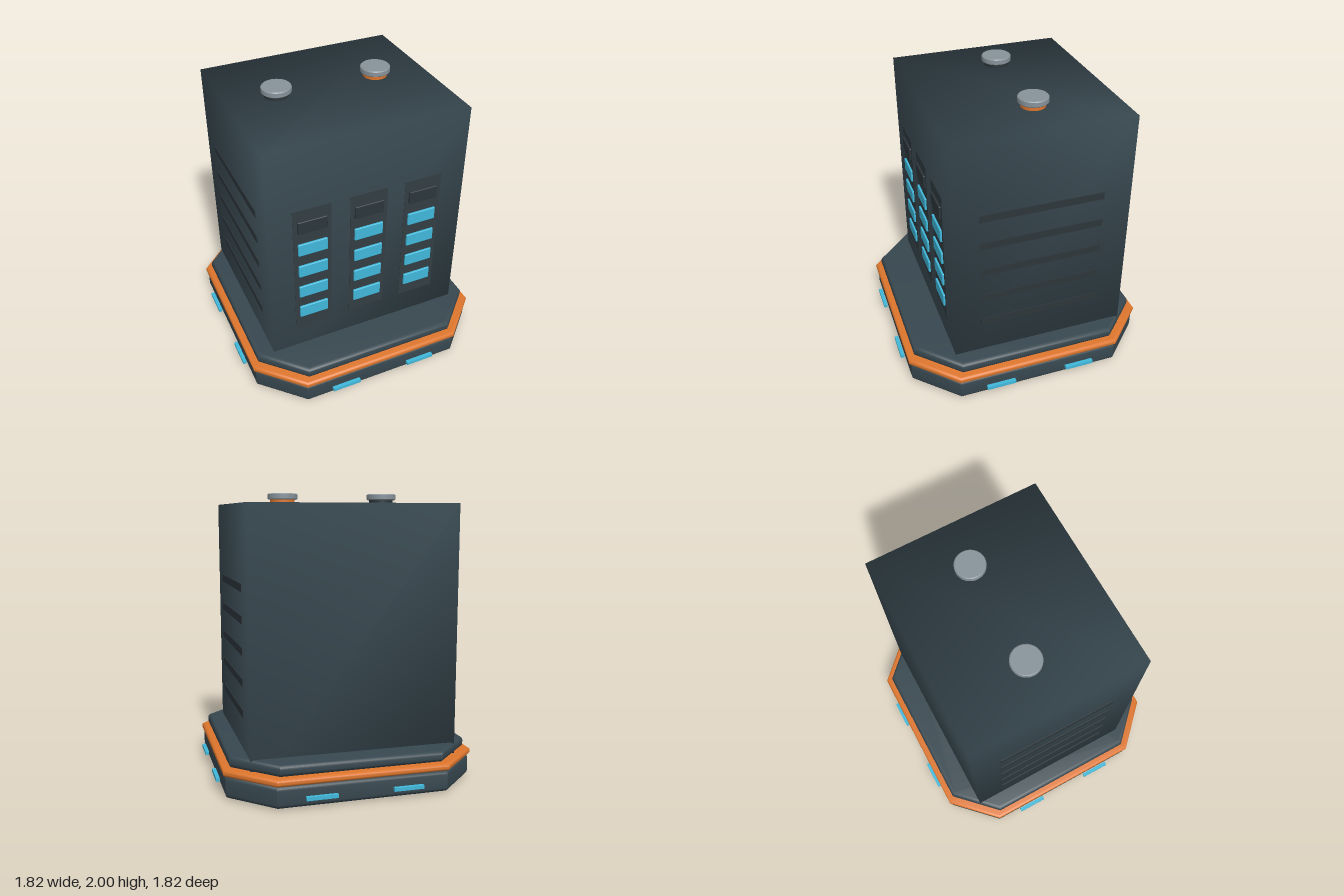
import * as THREE from 'three';
import { mergeVertices, toCreasedNormals } from 'three/addons/utils/BufferGeometryUtils.js';
import { RoundedBoxGeometry } from 'three/addons/geometries/RoundedBoxGeometry.js';

const material = (name, color) => {
  const m = new THREE.MeshStandardMaterial({ color });
  m.name = name;
  return m;
};

export function createModel() {
  const slate = material('slate', 0x37474f);
  const panelGrey = material('panelGrey', 0x313d43);
  const charcoal = material('charcoal', 0x2c363b);
  const orange = material('orange', 0xdc752c);
  const cyan = material('cyan', 0x40b8da);
  const steel = material('steel', 0x87939a);

  const model = new THREE.Group();
  model.name = 'serverTower';

  const add = (name, geometry, mat, x = 0, y = 0, z = 0, parent = model) => {
    const mesh = new THREE.Mesh(geometry, mat);
    mesh.name = name;
    mesh.position.set(x, y, z);
    parent.add(mesh);
    return mesh;
  };
  const group = (name) => {
    const g = new THREE.Group();
    g.name = name;
    model.add(g);
    return g;
  };

  // Square slab with cut corners and rounded rims, from y0 to y1
  const slab = (name, half, cut, y0, y1, bevel, mat) => {
    const h = half - bevel;
    const c = cut - bevel * 0.41;
    const shape = new THREE.Shape([
      [c, -h], [h, -c], [h, c], [c, h], [-c, h], [-h, c], [-h, -c], [-c, -h],
    ].map(([x, y]) => new THREE.Vector2(x, y)));
    const geometry = new THREE.ExtrudeGeometry(shape, {
      depth: y1 - y0 - 2 * bevel, bevelThickness: bevel, bevelSize: bevel, bevelSegments: 4,
    });
    geometry.rotateX(-Math.PI / 2);
    add(name, toCreasedNormals(geometry, 0.7), mat, 0, y0 + bevel, 0);
  };

  // Stepped base
  slab('baseLower', 0.87, 0.585, 0.008, 0.157, 0.028, slate);
  slab('baseTrim', 0.885, 0.59, 0.158, 0.206, 0.02, orange);
  slab('baseUpper', 0.84, 0.56, 0.206, 0.284, 0.028, slate);

  // Tower block with soft shading across its corners
  let tower = new THREE.BoxGeometry(1.44, 1.93, 1.25);
  tower.deleteAttribute('normal');
  tower.deleteAttribute('uv');
  tower = mergeVertices(tower);
  tower.computeVertexNormals();
  add('tower', tower, slate, 0, 0.965, -0.05);

  // Front window columns; the top row is unlit
  const windows = group('windows');
  const pane = new RoundedBoxGeometry(0.21, 0.095, 0.03, 2, 0.006);
  const panel = new THREE.BoxGeometry(0.272, 1.005, 0.008);
  for (const x of [-0.408, 0, 0.403]) {
    add('windowPanel', panel, panelGrey, x, 0.967, 0.574, windows);
    for (let row = 0; row < 5; row++) {
      add(row < 4 ? 'litWindow' : 'darkWindow', pane, row < 4 ? cyan : charcoal,
        x, 0.605 + row * 0.1835, 0.577, windows);
    }
  }

  // Side vents
  const vents = group('sideVents');
  const vent = new THREE.BoxGeometry(0.02, 0.052, 0.86);
  for (const side of [-1, 1]) {
    for (let i = 0; i < 5; i++) {
      add('vent', vent, charcoal, side * 0.717, 0.535 + i * 0.212, -0.045, vents);
    }
  }

  // Light strips, two on each side of the base
  const lights = group('baseLights');
  const strip = new THREE.BoxGeometry(0.21, 0.025, 0.026);
  for (let i = 0; i < 4; i++) {
    const side = new THREE.Group();
    side.name = 'lightPair';
    side.rotation.y = i * Math.PI / 2;
    for (const x of [-0.296, 0.296]) add('lightStrip', strip, cyan, x, 0.074, 0.895, side);
    lights.add(side);
  }

  // Roof knobs
  const stem = new THREE.CylinderGeometry(0.085, 0.085, 0.05, 32);
  const cap = toCreasedNormals(new THREE.LatheGeometry([
    [0, 0], [0.098, 0], [0.104, 0.006], [0.104, 0.036], [0.098, 0.042], [0, 0.042],
  ].map(([r, y]) => new THREE.Vector2(r, y)), 32), 0.6);
  for (const [x, mat] of [[-0.367, charcoal], [0.363, orange]]) {
    add('knobStem', stem, mat, x, 1.945, -0.1);
    add('knobCap', cap, steel, x, 1.958, -0.1);
  }

  return model;
}
